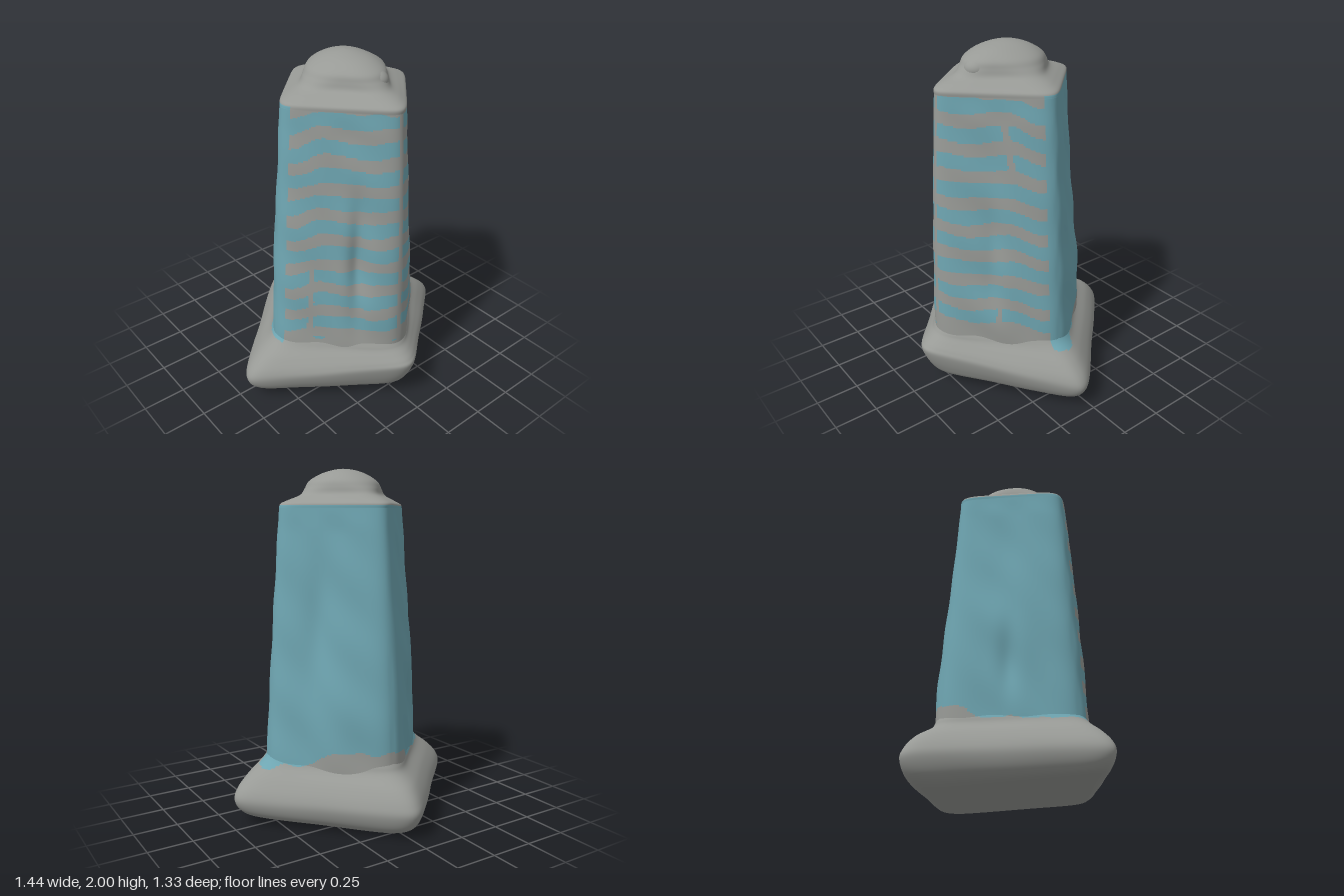
import * as THREE from 'three';

const stone = new THREE.MeshStandardMaterial({ color: 0x989a96 });
stone.name = 'grey stone';
const paint = new THREE.MeshStandardMaterial({ color: 0x6ea5b1 });
paint.name = 'dusty blue';

const CENTER_Z = 0.065; // depth of the two side corners
const COLUMNS = 224;
const RIM = [1.775, 0.406, 0.438, 0.412, 8]; // shared by shaft and cap
const smooth = THREE.MathUtils.smoothstep;
const bell = (d, w) => Math.exp(-(d * d) / (w * w));

// Catmull-Rom blend of the section rows
function sectionAt(rows, f) {
  const p = f * (rows.length - 1);
  const i = Math.min(Math.floor(p), rows.length - 2);
  const t = p - i;
  const at = (k) => rows[THREE.MathUtils.clamp(k, 0, rows.length - 1)];
  return rows[i].map((b, k) => {
    const a = at(i - 1)[k], c = at(i + 1)[k], d = at(i + 2)[k];
    const m0 = (c - a) / 2, m1 = (d - b) / 2;
    return b + t * m0 + t * t * (3 * (c - b) - 2 * m0 - m1) + t * t * t * (2 * (b - c) + m0 + m1);
  });
}

// Loft of rounded diamonds. Row: y, half width, front depth, back depth,
// corner sharpness (2 = round), tilt towards the front, lift of front and back.
// bump(t, y) scales the radius.
function loft(name, rows, rings, bump) {
  const pos = [];
  for (let j = 0; j <= rings; j++) {
    const [y, rx, zf, zb, n, tilt = 0, fold = 0] = sectionAt(rows, j / rings);
    for (let i = 0; i < COLUMNS; i++) {
      const t = (i / COLUMNS) * Math.PI * 2;
      const s = Math.sin(t), c = Math.cos(t);
      const sum = Math.abs(s + c) ** n + Math.abs(s - c) ** n;
      const r = (2 / sum) ** (1 / n) * (1 + bump(t, y));
      const dz = r * c * (c > 0 ? zf : zb);
      const z = CENTER_Z + dz;
      pos.push(rx * r * s, y + tilt * z + (fold * Math.abs(dz)) / 0.66, z);
    }
  }
  const faces = [[], []];
  for (let j = 0; j < rings; j++) {
    for (let i = 0; i < COLUMNS; i++) {
      const k = (i + 1) % COLUMNS;
      const a = j * COLUMNS + i, b = j * COLUMNS + k, c = b + COLUMNS, d = a + COLUMNS;
      const mid = [0, 1, 2].map((q) => (pos[a * 3 + q] + pos[c * 3 + q]) / 2);
      const s = ((i + 0.5) / COLUMNS) * 4; // 0 front, 1 left, 2 back, 3 right
      faces[painted(...mid, s) ? 1 : 0].push(a, b, c, a, c, d);
    }
  }
  const geo = new THREE.BufferGeometry();
  geo.setAttribute('position', new THREE.Float32BufferAttribute(pos, 3));
  geo.setIndex([...faces[0], ...faces[1]]);
  geo.addGroup(0, faces[0].length, 0);
  geo.addGroup(faces[0].length, faces[1].length, 1);
  geo.computeVertexNormals();
  const mesh = new THREE.Mesh(geo, [stone, paint]);
  mesh.name = name;
  return mesh;
}

// Worn, hand-modelled surface of the shaft: lumps, swellings and dents
function wear(t, y) {
  const flat = Math.sqrt(Math.abs(Math.sin(2 * t))) * smooth(1.775 - y, 0, 0.15); // none on corners or rim
  const lumps = 0.011 * Math.sin(5 * t + 7 * y) * Math.sin(9 * y - 3 * t) + 0.008 * Math.sin(17 * y + 8 * t);
  const swell =
    0.065 * bell(t - 2.5, 0.5) * bell(y - 0.6, 0.4) +
    0.06 * bell(t - 3.95, 0.5) * bell(y - 0.95, 0.3) +
    0.03 * bell(t - 0.8, 0.4) * bell(y - 0.55, 0.25);
  const dents =
    0.12 * bell(t - 5.8, 0.14) * bell(y - 0.92, 0.33) +
    0.05 * bell(t - 2.15, 0.2) * bell(y - 1.15, 0.28) +
    0.06 * bell(t - 3.93, 0.14) * bell(y - 0.7, 0.2) +
    0.03 * bell(t - 0.75, 0.15) * bell(y - 0.85, 0.3);
  return flat * (lumps + swell - dents);
}

// Blue back faces; wavy grey courses and a centre joint on the front faces
function painted(x, y, z, s) {
  const ragged = 0.015 * Math.sin(31 * x + 11 * z) + 0.01 * Math.sin(57 * x);
  if (z < 0.115) {
    // the edge dips at the left corner and rises at the back corner
    const rise = 0.08 * smooth(s, 1.35, 1.55) * (1 - smooth(s, 2.15, 2.3));
    const dip = 0.035 * bell(s - 1, 0.2);
    return y > 0.36 + rise - dip + ragged * 0.5 && y < 1.79;
  }
  if (y < 0.425 + ragged || y > 1.772 + ragged * 0.4) return false;
  const w = Math.abs(x) / (0.53 - 0.075 * y); // 0 at the front corner, 1 at the sides
  if (w < 0.03) return false;
  if (x < 0 && Math.abs(w - 0.79) < 0.02 && y < 0.9) return false;
  if (x > 0 && Math.abs(w - 0.62) < 0.02 && y < 0.62) return false;
  if (x > 0 && Math.abs(w - 0.68 + 0.3 * (y - 1.55)) < 0.03 && y > 1.4 && y < 1.7) return false;
  const wave = 0.008 * Math.cos(w * 9) + 0.006 * Math.sin(23 * x + 13 * y) - 0.045 * smooth(w, 0.7, 0.98);
  const phase = (y - 0.565 - wave) / 0.1515;
  return phase - Math.floor(phase) > 0.47;
}

export function createModel() {
  const model = new THREE.Group();
  model.name = 'diamondTower';

  // Swollen plinth, raised at its front corner
  model.add(loft('plinth', [
    [0.07, 0, 0, 0, 4, 0.06, 0],
    [0.036, 0.45, 0.4, 0.46, 8, 0.06, 0],
    [0.046, 0.62, 0.5, 0.58, 9, 0.07, 0],
    [0.08, 0.69, 0.56, 0.68, 11, 0.09, 0.03],
    [0.14, 0.722, 0.6, 0.73, 12, 0.1, 0.06],
    [0.2, 0.7, 0.585, 0.71, 11, 0.08, 0.05],
    [0.27, 0.63, 0.55, 0.645, 9, 0.05, 0.03],
    [0.33, 0.55, 0.52, 0.55, 7, 0.02, 0.01],
    [0.37, 0.51, 0.505, 0.52, 6, 0, 0],
    [0.42, 0.48, 0.475, 0.495, 6, 0, 0],
  ], 64, (t, y) => 0.004 * Math.sin(7 * t + 12 * y)));

  // Tapered shaft
  model.add(loft('shaft', [
    [0.28, 0.51, 0.5, 0.52, 5.5],
    [0.65, 0.488, 0.492, 0.502, 5.5],
    [1.02, 0.463, 0.48, 0.473, 6],
    [1.4, 0.436, 0.462, 0.441, 7],
    RIM,
  ], 170, wear));

  // Stepped cap with a rounded dome
  model.add(loft('cap', [
    RIM,
    [1.8, 0.396, 0.435, 0.408, 7.5],
    [1.822, 0.345, 0.39, 0.36, 6.5],
    [1.85, 0.272, 0.31, 0.283, 4.5],
    [1.89, 0.232, 0.27, 0.247, 3],
    [1.93, 0.198, 0.24, 0.21, 2.4],
    [1.97, 0.125, 0.16, 0.14, 2],
    [1.992, 0.06, 0.07, 0.07, 2],
    [2, 0, 0, 0, 2],
  ], 48, (t, y) => 0.02 * Math.sin(3 * t + 1) * smooth(y, 1.8, 1.86)));

  // Small lump on the front of the dome
  const lump = new THREE.Mesh(new THREE.SphereGeometry(0.08, 32, 20), stone);
  lump.name = 'domeLump';
  lump.scale.set(0.9, 0.72, 1);
  lump.position.set(0.03, 1.882, 0.26);
  model.add(lump);

  return model;
}
